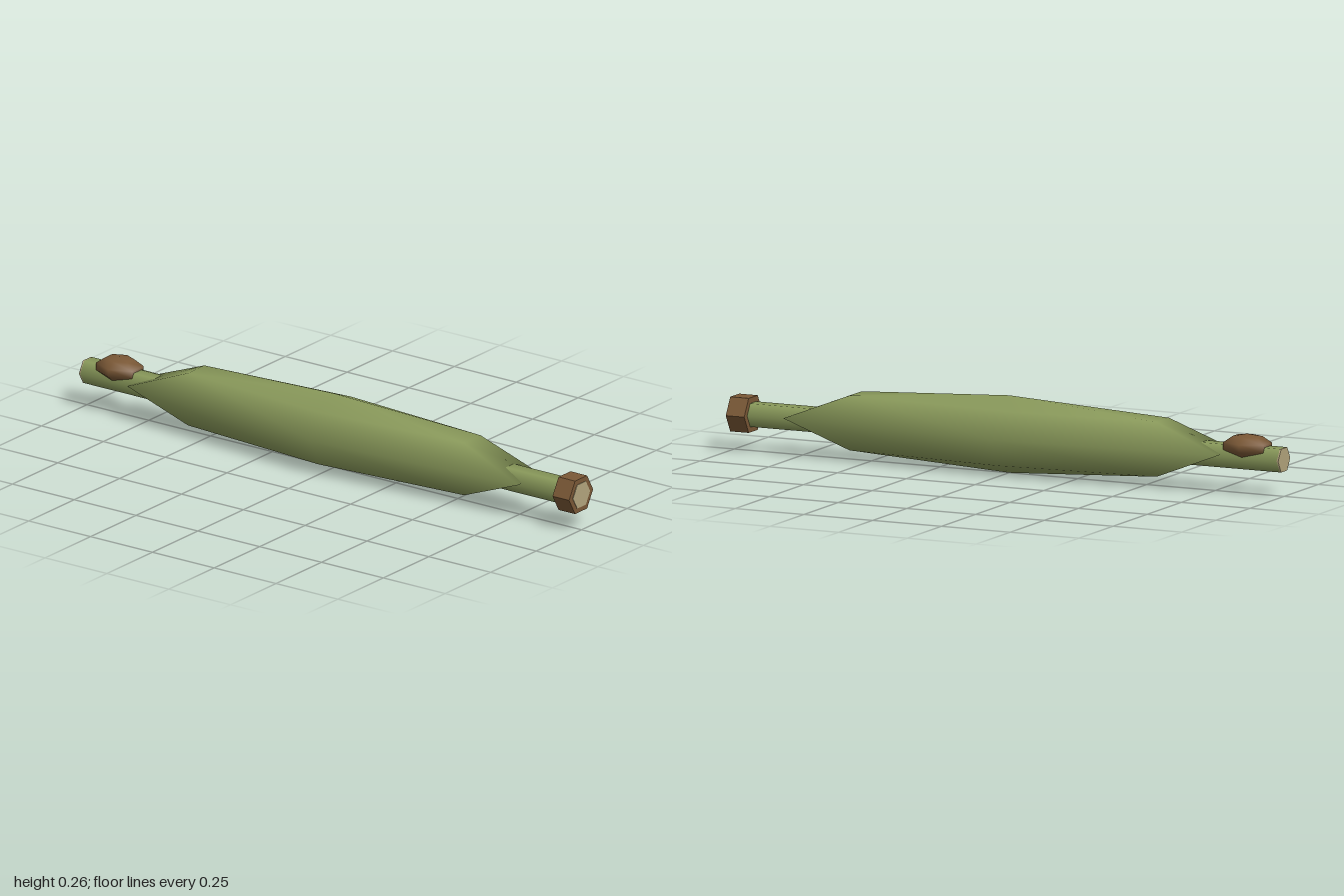
import * as THREE from 'three';

export function createModel() {
  const group = new THREE.Group();
  const make = (name, color, flatShading = false) => {
    const m = new THREE.MeshStandardMaterial({ color });
    m.name = name;
    if (flatShading) m.flatShading = true;
    return m;
  };
  const green = make('podGreen', 0x8a9a5b);
  const brown = make('barkBrown', 0x7a5836);
  const tan = make('cutTan', 0xb3a57d);

  const add = (name, geometry, material, x, y) => {
    const mesh = new THREE.Mesh(geometry, material);
    mesh.name = name;
    mesh.position.set(x, y, 0);
    group.add(mesh);
    return mesh;
  };

  // Six-sided ellipsoid with corners on the z axis and flat ends along x
  const ellipsoid = (rings, rx, ry, rz) =>
    new THREE.SphereGeometry(1, 6, rings).rotateY(Math.PI / 2).scale(rx, ry, rz);

  // Hexagonal prism along x
  const hexBar = (radius, length, open = false) =>
    new THREE.CylinderGeometry(radius, radius, length, 6, 1, open).rotateZ(-Math.PI / 2);

  // Swollen pod
  add('pod', ellipsoid(4, 0.912, 0.128, 0.128), green, 0, 0.128);

  // Stem running through the pod
  const axisY = 0.121;
  add('stem', hexBar(0.0445, 1.99, true), green, 0, axisY);
  add('stemEnd', hexBar(0.0445, 0.006), tan, -0.997, axisY);

  // Collar with a pale cut face at the left end
  const collar = hexBar(0.066, 0.067).toNonIndexed();
  collar.computeVertexNormals();
  add('collar', collar, brown, 0.9645, axisY);
  add('collarFace', hexBar(0.047, 0.004), tan, 0.998, axisY);

  // Bud sitting on the stem at the right end
  add('bud', ellipsoid(5, 0.088, 0.041, 0.068), brown, -0.867, 0.156);

  return group;
}
